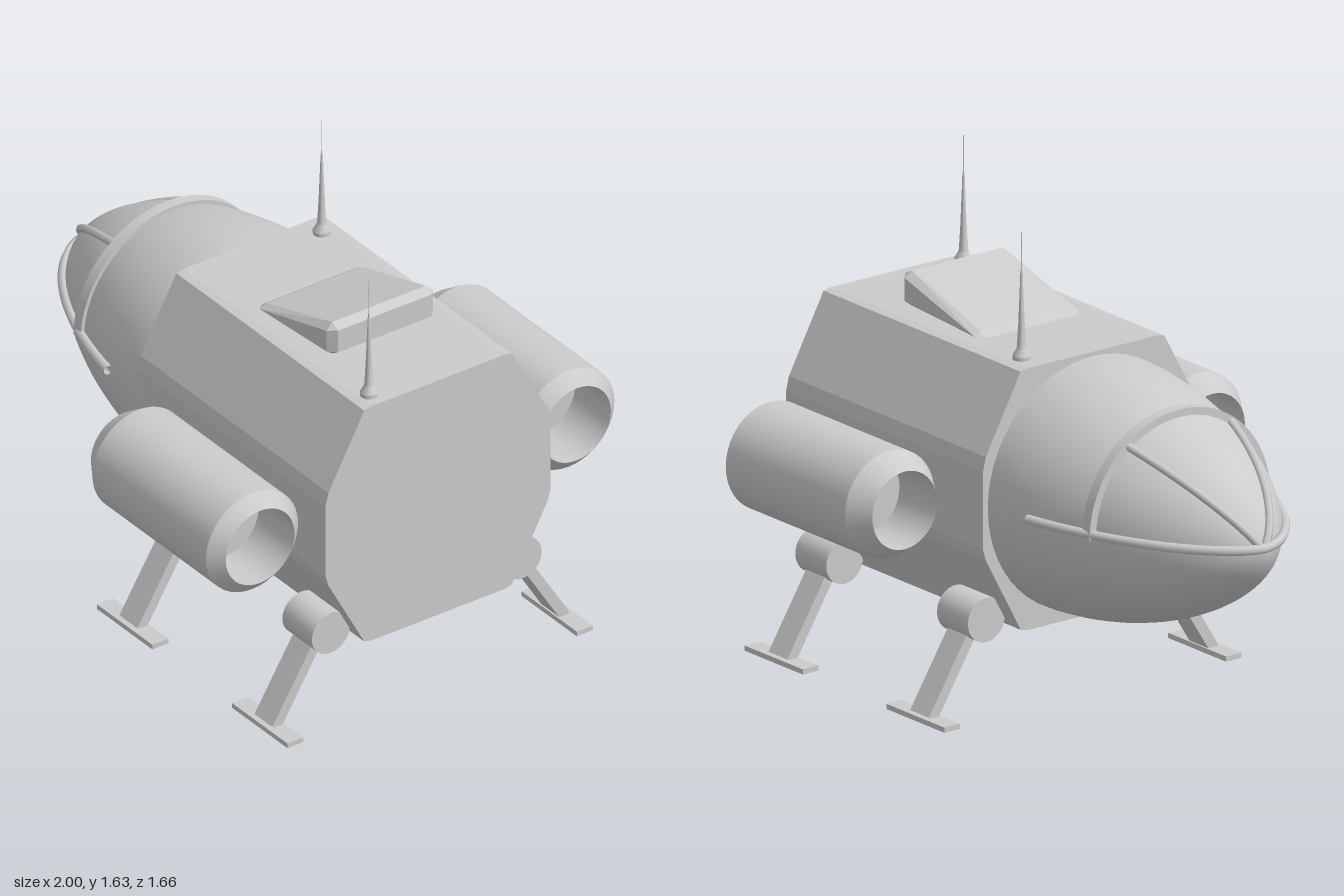
import * as THREE from 'three';
import { ConvexGeometry } from 'three/addons/geometries/ConvexGeometry.js';
import { toCreasedNormals } from 'three/addons/utils/BufferGeometryUtils.js';

const AXIS_Y = 0.74; // height of the nose axis
const NOSE_X = -0.065; // where the nose meets the cabin
const NOSE_LEN = 0.905;

export function createModel() {
  const model = new THREE.Group();
  const material = new THREE.MeshStandardMaterial({ color: 0xcccccc, side: THREE.DoubleSide });

  const add = (name, geometry, x = 0, y = 0, z = 0) => {
    const mesh = new THREE.Mesh(geometry, material);
    mesh.name = name;
    mesh.position.set(x, y, z);
    model.add(mesh);
    return mesh;
  };
  // Lathe from [radius, height] pairs, with sharp edges kept
  const lathe = (pairs, sides) => toCreasedNormals(
    new THREE.LatheGeometry(pairs.map(([r, h]) => new THREE.Vector2(r, h)), sides), 0.5);
  // Shape drawn in (z, y), extruded along +x from x = 0
  const extrudeX = (shape, depth) =>
    new THREE.ExtrudeGeometry(shape, { depth, bevelEnabled: false, curveSegments: 32 }).rotateY(Math.PI / 2);

  // Cabin: chamfered prism
  const half = [[0.27, 1.192], [0.3, 1.186], [0.445, 0.92], [0.457, 0.87],
    [0.457, 0.6], [0.445, 0.56], [0.3, 0.29], [0.27, 0.283]];
  const outline = [...half, ...half.map(([z, y]) => [-z, y]).reverse()];
  const cabin = new THREE.Shape(outline.map(([z, y]) => new THREE.Vector2(z, y)));
  add('cabin', extrudeX(cabin, 1.05), NOSE_X);

  // Nose: pointed dome lying along -x
  const noseRadius = (t) => 0.437 * Math.pow(Math.max(0, 1 - Math.pow(t, 1.8)), 0.6);
  const profile = [];
  for (let i = 0; i <= 28; i++) {
    const t = Math.sin((i / 28) * Math.PI / 2);
    profile.push(new THREE.Vector2(i === 28 ? 0 : noseRadius(t), t * NOSE_LEN));
  }
  add('nose', new THREE.LatheGeometry(profile, 56).rotateZ(Math.PI / 2), NOSE_X, AXIS_Y);

  // Ribs that follow the nose surface, at an angle up from the horizontal
  const noseLine = (angle, side, tStart, lift) => {
    const points = [];
    for (let i = 0; i <= 20; i++) {
      const t = Math.sin(THREE.MathUtils.lerp(Math.asin(tStart), Math.PI / 2, i / 20));
      const r = noseRadius(t) + lift * (1 - t);
      points.push(new THREE.Vector3(NOSE_X - t * (NOSE_LEN + lift),
        AXIS_Y + r * Math.sin(angle), side * r * Math.cos(angle)));
    }
    return points;
  };
  const right = noseLine(0, 1, 0.22, 0.012);
  const left = noseLine(0, -1, 0.22, 0.012).reverse().slice(1);
  const rimCurve = new THREE.CatmullRomCurve3([...right, ...left]);
  add('noseRim', new THREE.TubeGeometry(rimCurve, 90, 0.017, 8), 0, 0.015);
  for (const side of [1, -1]) {
    const strut = new THREE.CatmullRomCurve3(noseLine(0.93, side, 0.51, 0.006));
    add('windshieldStrut', new THREE.TubeGeometry(strut, 40, 0.014, 6), 0, 0.006);
  }

  // Windshield hoop: half ring over the nose
  const hoop = new THREE.Shape();
  hoop.absarc(0, 0, 0.378, 0, Math.PI, false);
  hoop.absarc(0, 0, 0.335, Math.PI, 0, true);
  add('windshieldHoop', toCreasedNormals(extrudeX(hoop, 0.04), 0.5), -0.532, AXIS_Y);

  // Engine pods: chamfered cylinders with a recess at each end
  const pod = lathe([[0, 0.2], [0.135, 0.2], [0.135, 0], [0.187, 0.08],
    [0.187, 0.715], [0.14, 0.76], [0.14, 0.56], [0, 0.56]], 40).rotateZ(-Math.PI / 2);
  for (const side of [1, -1]) add('enginePod', pod, 0.115, 0.728, side * 0.643);

  // Landing legs: hip joint, slanted strut and foot skid
  const joint = toCreasedNormals(new THREE.CylinderGeometry(0.077, 0.077, 0.165, 32).rotateZ(Math.PI / 2), 0.5);
  const hip = new THREE.Vector2(0.4, 0.315);
  const ankle = new THREE.Vector2(0.588, 0.012);
  const legLength = hip.distanceTo(ankle);
  for (const x of [0.085, 0.84]) {
    for (const side of [1, -1]) {
      add('legJoint', joint, x, 0.325, side * 0.39);
      const leg = add('legStrut', new THREE.BoxGeometry(0.1, legLength, 0.038),
        x, (hip.y + ankle.y) / 2, side * (hip.x + ankle.x) / 2);
      leg.rotation.x = -side * Math.atan2(ankle.x - hip.x, hip.y - ankle.y);
      add('footSkid', new THREE.BoxGeometry(0.31, 0.018, 0.065), x + 0.002, 0.009, side * 0.588);
    }
  }

  // Antennas: flared base running into a thin needle
  const antenna = lathe([[0, 0], [0.03, 0], [0.03, 0.015], [0.016, 0.04], [0.011, 0.12],
    [0.004, 0.3], [0.0015, 0.32], [0.0015, 0.44]], 16);
  add('antenna', antenna, 0.022, 1.19, -0.228);
  add('antenna', antenna, 0.922, 1.19, 0.235);

  // Roof hatch: chamfered wedge rising to the rear
  const hatchPoints = [];
  const hatchRings = [
    [0.19, [[0.26, 1.19], [0.29, 1.21], [0.655, 1.322], [0.688, 1.305], [0.688, 1.22], [0.655, 1.2], [0.29, 1.19]]],
    [0.217, [[0.285, 1.195], [0.66, 1.3], [0.66, 1.22]]],
  ];
  for (const [z, ring] of hatchRings) {
    for (const [x, y] of ring) {
      hatchPoints.push(new THREE.Vector3(x, y, z), new THREE.Vector3(x, y, -z));
    }
  }
  add('roofHatch', new ConvexGeometry(hatchPoints));

  return model;
}
